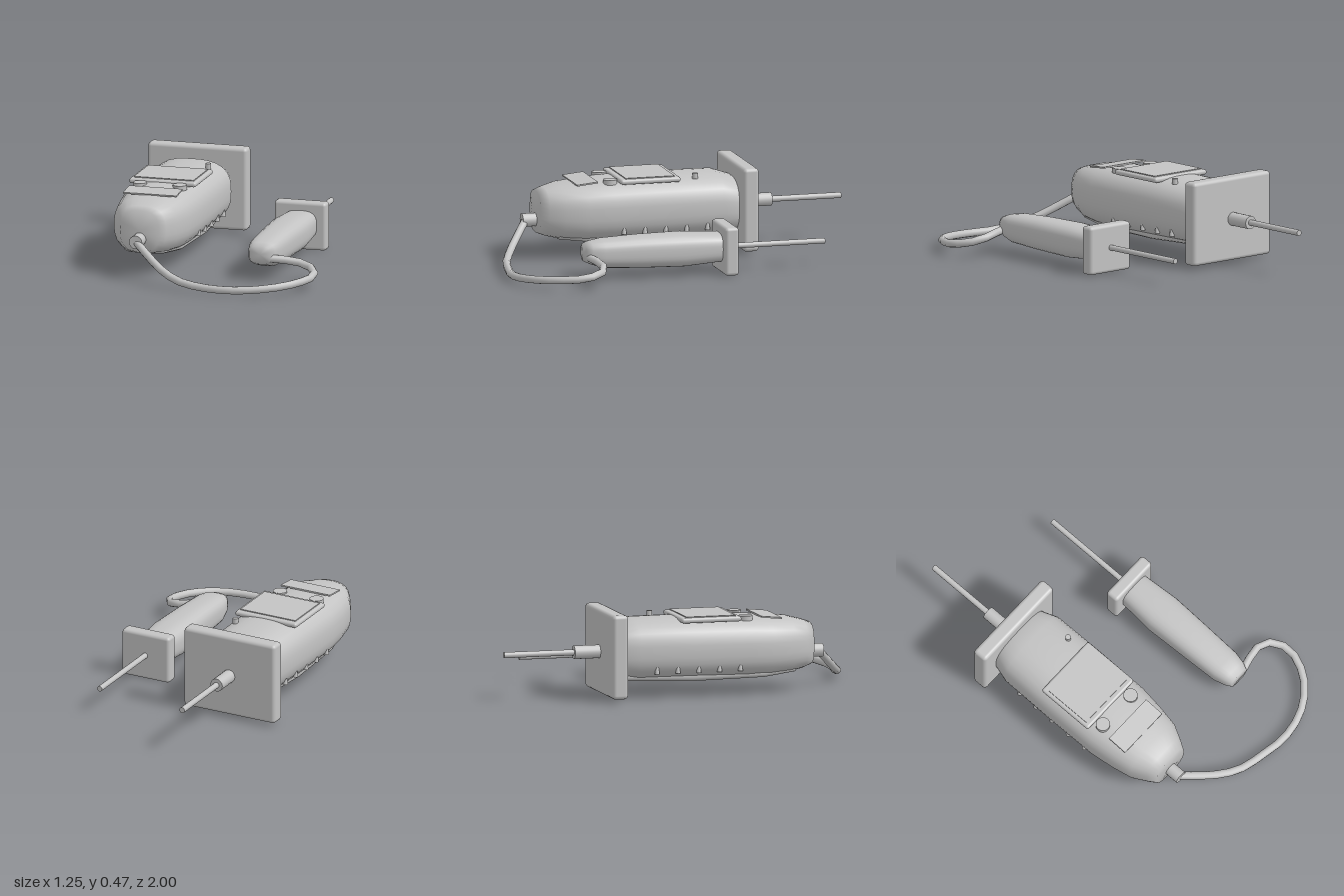
import * as THREE from 'three';
import { RoundedBoxGeometry } from 'three/addons/geometries/RoundedBoxGeometry.js';

const grey = new THREE.MeshStandardMaterial({ color: 0xc3c3c3 });
grey.name = 'light grey plastic';

function add(parent, name, geometry, x = 0, y = 0, z = 0) {
  const mesh = new THREE.Mesh(geometry, grey);
  mesh.name = name;
  mesh.position.set(x, y, z);
  parent.add(mesh);
  return mesh;
}

// Rod along z between two depths
function rod(parent, name, r, x, y, z0, z1) {
  const g = new THREE.CylinderGeometry(r, r, Math.abs(z1 - z0), 16).rotateX(Math.PI / 2);
  return add(parent, name, g, x, y, (z0 + z1) / 2);
}

// Rounded-square sections [z, halfWidth, bottom, top], back to front, with a smooth nose.
// The back end stays open because it sits inside a guard.
function loft(sections, power, sides = 32) {
  const pos = [], idx = [];
  for (const [z, hw, bottom, top] of sections) {
    const cy = (bottom + top) / 2, hh = (top - bottom) / 2;
    for (let i = 0; i < sides; i++) {
      const a = (i / sides) * Math.PI * 2, c = Math.cos(a), s = Math.sin(a);
      const k = Math.pow(Math.abs(c) ** power + Math.abs(s) ** power, -1 / power);
      pos.push(hw * c * k, cy + hh * s * k, z);
    }
  }
  const last = (sections.length - 1) * sides, nose = last + sides;
  const [noseZ, , noseBottom, noseTop] = sections[sections.length - 1];
  pos.push(0, (noseBottom + noseTop) / 2, noseZ);
  for (let i = 0; i < sides; i++) {
    const n = (i + 1) % sides;
    for (let row = 0; row < last; row += sides) {
      const a = row + i, b = row + n, c = a + sides, d = b + sides;
      idx.push(a, b, d, a, d, c);
    }
    idx.push(last + i, last + n, nose);
  }
  const g = new THREE.BufferGeometry();
  g.setAttribute('position', new THREE.Float32BufferAttribute(pos, 3));
  g.setIndex(idx);
  g.computeVertexNormals();
  return g;
}

export function createModel() {
  const model = new THREE.Group();
  model.name = 'twoProbeTester';

  // Main handset
  const main = new THREE.Group();
  main.name = 'mainUnit';
  main.position.x = -0.355;
  model.add(main);
  add(main, 'mainBody', loft([
    [-0.4, 0.185, 0.1, 0.385], [-0.3, 0.216, 0.088, 0.418], [0, 0.219, 0.082, 0.42],
    [0.3, 0.217, 0.082, 0.416], [0.44, 0.2, 0.085, 0.405], [0.56, 0.178, 0.1, 0.395],
    [0.64, 0.135, 0.118, 0.375], [0.685, 0.107, 0.135, 0.36],
  ], 2.8));
  add(main, 'bottomCover', loft([
    [-0.4, 0.15, 0.095, 0.16], [0, 0.17, 0.08, 0.16],
    [0.4, 0.155, 0.085, 0.16], [0.58, 0.115, 0.105, 0.16],
  ], 5));
  add(main, 'mainGuard', new RoundedBoxGeometry(0.55, 0.45, 0.085, 2, 0.02), 0, 0.243, -0.432);
  rod(main, 'probeCollar', 0.036, 0, 0.243, -0.45, -0.615);
  rod(main, 'mainProbe', 0.016, 0, 0.243, -0.6, -1);
  rod(main, 'cordSocket', 0.036, 0, 0.203, 0.66, 0.76);

  // Display, buttons and label on the top
  add(main, 'displayBezel', new RoundedBoxGeometry(0.37, 0.028, 0.33, 3, 0.013), 0, 0.413, 0.097);
  add(main, 'displayWindow', new THREE.BoxGeometry(0.33, 0.008, 0.27), 0, 0.428, 0.097);
  for (const s of [-1, 1]) {
    add(main, 'button', new THREE.CylinderGeometry(0.038, 0.038, 0.026, 20), s * 0.11, 0.408, 0.303);
  }
  add(main, 'labelPlate', new THREE.BoxGeometry(0.295, 0.008, 0.115), 0, 0.408, 0.437).rotation.x = 0.1;
  add(main, 'indicator', new THREE.CylinderGeometry(0.015, 0.015, 0.03, 16), 0.13, 0.418, -0.16);

  // Wedge-shaped grip ribs low on both sides
  for (const s of [-1, 1]) {
    for (let i = 0; i < 5; i++) {
      const rib = new THREE.CylinderGeometry(0.004, 0.014, 0.07, 10);
      add(main, 'gripRib', rib, s * 0.198, 0.172, 0.25 - i * 0.115);
    }
  }

  // Second handle
  const second = new THREE.Group();
  second.name = 'secondHandle';
  second.position.x = 0.287;
  model.add(second);
  add(second, 'handleBody', loft([
    [-0.16, 0.092, 0.06, 0.213], [0.06, 0.107, 0.045, 0.225], [0.3, 0.098, 0.05, 0.222],
    [0.5, 0.09, 0.06, 0.213], [0.565, 0.075, 0.08, 0.202], [0.6, 0.058, 0.095, 0.19],
  ], 3));
  add(second, 'handleGuard', new RoundedBoxGeometry(0.287, 0.26, 0.075, 2, 0.018), 0, 0.13, -0.182);
  rod(second, 'secondProbe', 0.015, 0, 0.135, -0.2, -0.73);

  // Connecting cord
  const path = new THREE.CatmullRomCurve3([
    [-0.355, 0.2, 0.74], [-0.25, 0.13, 0.82], [-0.15, 0.075, 0.885], [-0.05, 0.045, 0.93],
    [0.08, 0.03, 0.955], [0.2, 0.03, 0.975], [0.32, 0.035, 0.967], [0.45, 0.045, 0.915],
    [0.55, 0.055, 0.82], [0.604, 0.066, 0.68], [0.575, 0.082, 0.59], [0.52, 0.097, 0.55],
    [0.44, 0.112, 0.555], [0.34, 0.122, 0.58],
  ].map(p => new THREE.Vector3(...p)));
  add(model, 'cord', new THREE.TubeGeometry(path, 20, 0.021, 10));
  return model;
}
